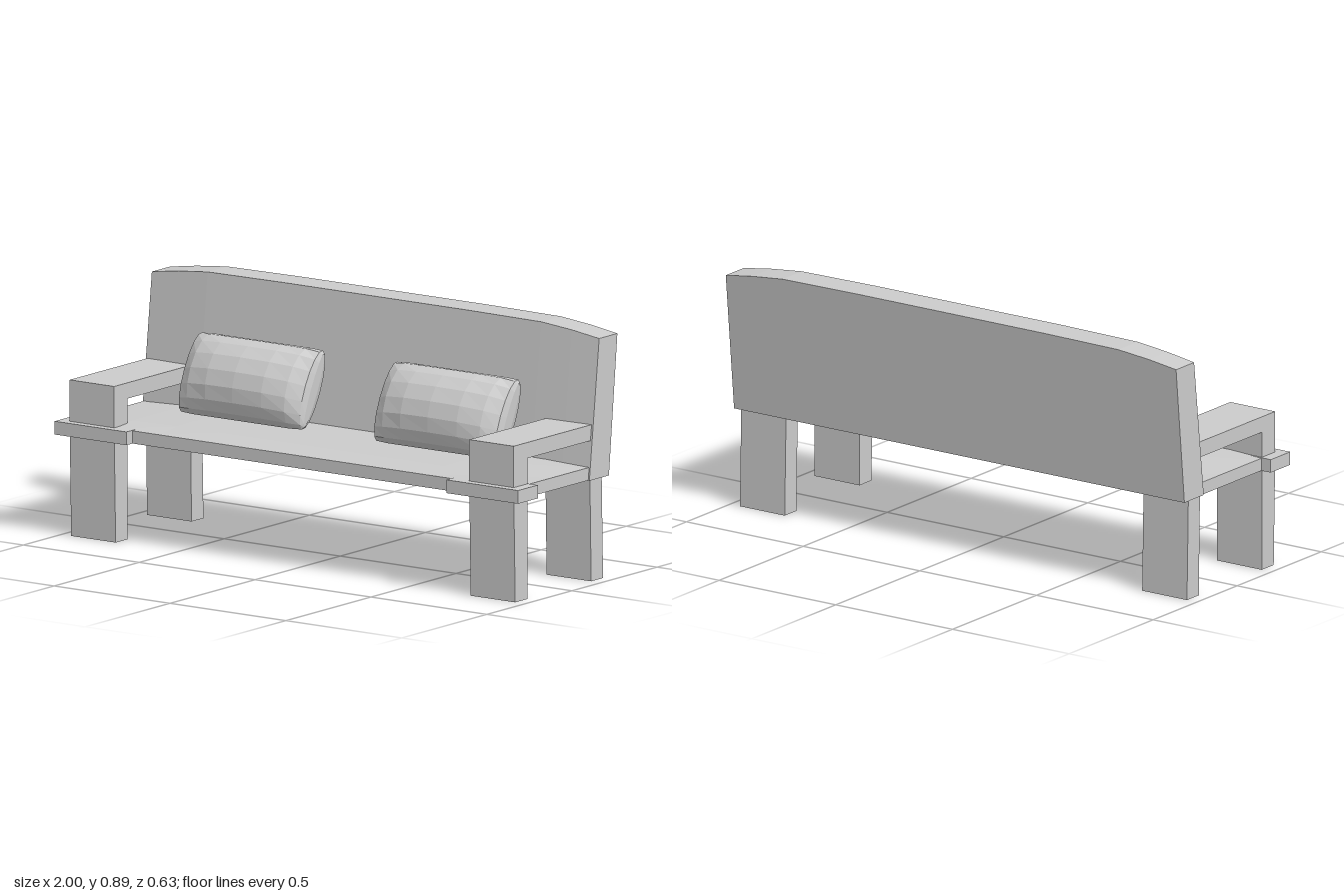
import * as THREE from 'three';

const material = new THREE.MeshStandardMaterial({ color: 0xcccccc, flatShading: true });

// Apply a rule to every vertex of a geometry.
function reshape(geometry, rule) {
  const p = geometry.attributes.position;
  const v = new THREE.Vector3();
  for (let i = 0; i < p.count; i++) {
    rule(v.fromBufferAttribute(p, i));
    p.setXYZ(i, v.x, v.y, v.z);
  }
  geometry.computeVertexNormals();
  return geometry;
}

// Box given by its lower and upper limits.
function boxBetween(x0, x1, y0, y1, z0, z1) {
  return new THREE.BoxGeometry(x1 - x0, y1 - y0, z1 - z0)
    .translate((x0 + x1) / 2, (y0 + y1) / 2, (z0 + z1) / 2);
}

// Leg whose front and back edges run to different depths at floor and seat.
function legGeometry(floorZ, seatZ) {
  return reshape(new THREE.BoxGeometry(0.192, 1, 1), (v) => {
    const z = v.y < 0 ? floorZ : seatZ;
    v.set(v.x + 0.862, v.y < 0 ? 0 : 0.365, v.z < 0 ? z[0] : z[1]);
  });
}

// Seat slab with a faint crown on the upper face.
function seatGeometry() {
  return reshape(new THREE.BoxGeometry(1.92, 1, 0.53, 10, 1, 5), (v) => {
    const crown = (1 - Math.pow(Math.abs(v.x) / 0.96, 4)) * (1 - Math.pow(Math.abs(v.z) / 0.265, 4));
    v.y = v.y < 0 ? 0.362 : 0.407 + 0.016 * crown;
    v.z += 0.015;
  });
}

// Leaning backrest with lowered shoulders and a slightly bowed front.
function backGeometry() {
  const stations = [0, 0.4, 0.72, 0.85, 0.965];
  const tops = [0.89, 0.89, 0.887, 0.874, 0.857];
  const bow = [0.011, 0.011, 0.009, 0.005, 0];
  return reshape(new THREE.BoxGeometry(8, 1, 1, 8, 3, 1), (v) => {
    const i = Math.round(Math.abs(v.x));
    const y = THREE.MathUtils.lerp(0.361, tops[i], v.y + 0.5);
    const k = (y - 0.36) / 0.5;
    const z = v.z > 0 ? -0.15 - 0.058 * k + bow[i] : -0.265 - 0.05 * k;
    v.set(Math.sign(v.x) * stations[i], y, z);
  });
}

// Armrest and its front post as one bent profile.
function armGeometry() {
  const shape = new THREE.Shape([
    [0.285, 0.4], [0.285, 0.556], [-0.19, 0.556], [-0.19, 0.5], [0.205, 0.5], [0.205, 0.4],
  ].map(([z, y]) => new THREE.Vector2(-z, y)));
  return new THREE.ExtrudeGeometry(shape, { depth: 0.192, bevelEnabled: false })
    .rotateY(Math.PI / 2).translate(0.766, 0, 0);
}

// Cushion: elliptical sections along x, thinning toward narrow ends.
function cushionGeometry() {
  const rows = [ // position along half width, height scale, thickness scale
    [1, 0.92, 0.18], [0.97, 0.98, 0.42], [0.78, 1, 0.75], [0.45, 1, 0.94], [0, 1, 1],
  ];
  const sections = [
    ...rows.map(([x, h, t]) => [-x, h, t]),
    ...rows.slice(0, -1).reverse(),
  ];
  const sides = 16;
  const points = [];
  const index = [];
  for (const [x, h, t] of sections) {
    for (let j = 0; j < sides; j++) {
      const a = (j / sides) * Math.PI * 2;
      points.push(new THREE.Vector3(x * 0.269, 0.147 * h * Math.cos(a), 0.112 * t * Math.sin(a)));
    }
  }
  for (let i = 0; i < sections.length - 1; i++) {
    for (let j = 0; j < sides; j++) {
      const a = i * sides + j;
      const b = i * sides + (j + 1) % sides;
      index.push(a, b, b + sides, a, b + sides, a + sides);
    }
  }
  const last = (sections.length - 1) * sides;
  for (let j = 1; j < sides - 1; j++) {
    index.push(0, j + 1, j, last, last + j, last + j + 1);
  }
  const geometry = new THREE.BufferGeometry().setFromPoints(points);
  geometry.setIndex(index);
  geometry.computeVertexNormals();
  return geometry;
}

export function createModel() {
  const bench = new THREE.Group();
  bench.name = 'bench';
  const add = (name, geometry) => {
    const mesh = new THREE.Mesh(geometry, material);
    mesh.name = name;
    bench.add(mesh);
    return mesh;
  };

  add('seat', seatGeometry());
  add('backrest', backGeometry());

  // Parts repeated on both sides: builder and distance from the middle.
  const sideParts = {
    FrontLeg: [() => legGeometry([0.205, 0.276], [0.205, 0.284]), 0.862],
    BackLeg: [() => legGeometry([-0.24, -0.17], [-0.232, -0.163]), 0.862],
    Armrest: [armGeometry, 0.862],
    CornerPlate: [() => boxBetween(0.69, 1, 0.362, 0.409, 0.2, 0.316), 0.845],
  };
  for (const [part, [build, centre]] of Object.entries(sideParts)) {
    add('left' + part, build());
    add('right' + part, build().translate(-2 * centre, 0, 0));
  }

  // Two cushions leaning on the backrest.
  for (const [name, x] of [['leftCushion', 0.428], ['rightCushion', -0.415]]) {
    const cushion = add(name, cushionGeometry());
    cushion.position.set(x, 0.563, -0.047);
    cushion.rotation.x = -0.45;
  }
  return bench;
}
